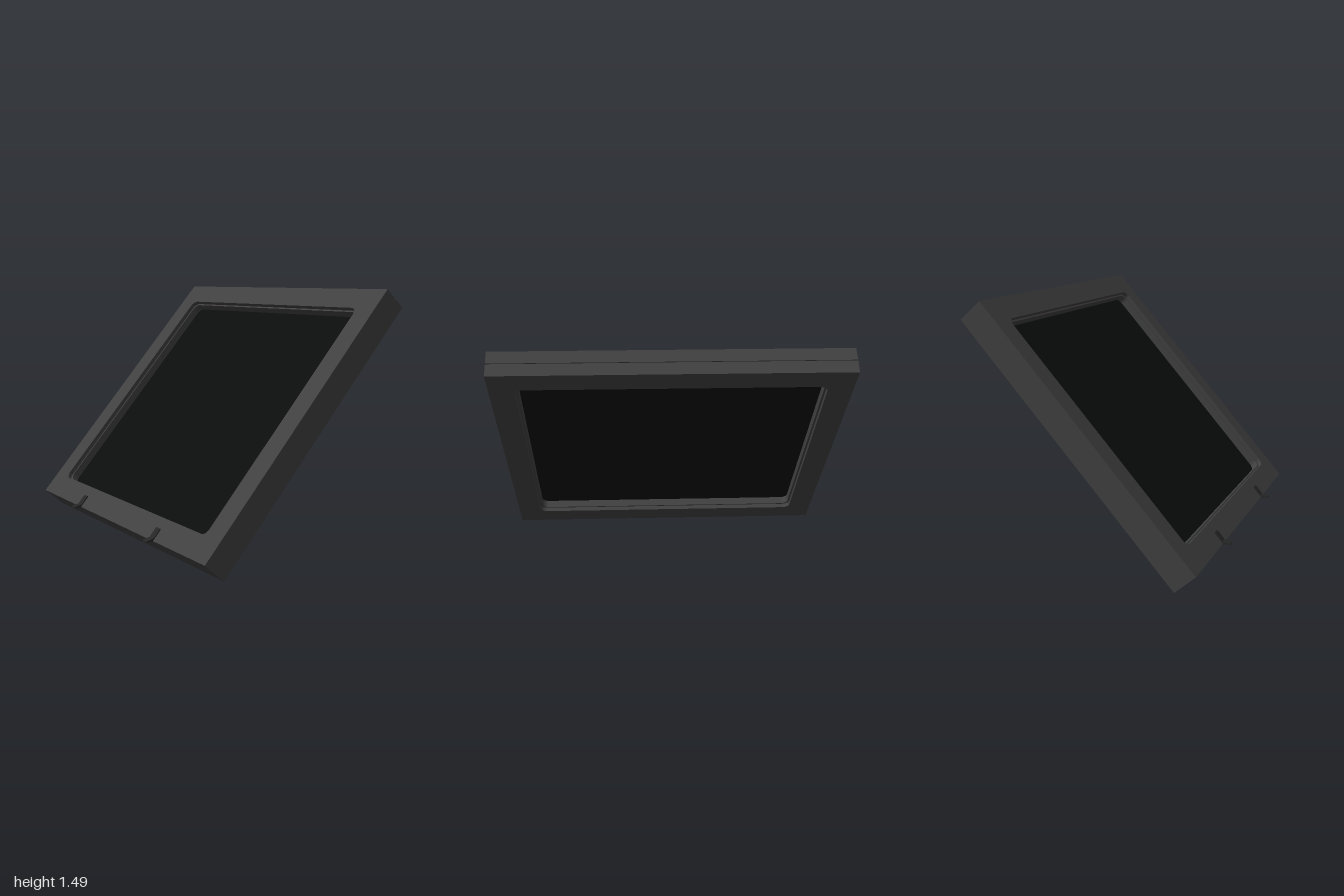
import * as THREE from 'three';

const LENGTH = 0.92, WIDTH = 1;         // half sizes of the sash
const TILT = Math.atan2(1.38, 1.215);

const frameMat = new THREE.MeshStandardMaterial({ color: 0x404040 });
const glassMat = new THREE.MeshStandardMaterial({ color: 0x0b0d0d });
const hingeMat = new THREE.MeshStandardMaterial({ color: 0x262626 });

function roundedRect(path, a, b, r) {
  path.moveTo(-a + r, -b);
  path.lineTo(a - r, -b).absarc(a - r, -b + r, r, -Math.PI / 2, 0, false);
  path.lineTo(a, b - r).absarc(a - r, b - r, r, 0, Math.PI / 2, false);
  path.lineTo(-a + r, b).absarc(-a + r, b - r, r, Math.PI / 2, Math.PI, false);
  path.lineTo(-a, -b + r).absarc(-a + r, -b + r, r, Math.PI, Math.PI * 1.5, false);
  return path;
}

// One layer of the frame with a rounded opening, between heights v0 and v1
function frameLayer(name, v0, v1, holeA, holeB, endU = LENGTH) {
  const shape = new THREE.Shape([
    new THREE.Vector2(-LENGTH, -WIDTH), new THREE.Vector2(endU, -WIDTH),
    new THREE.Vector2(endU, WIDTH), new THREE.Vector2(-LENGTH, WIDTH),
  ]);
  shape.holes.push(roundedRect(new THREE.Path(), holeA, holeB, 0.045));
  const geo = new THREE.ExtrudeGeometry(shape, { depth: v1 - v0, bevelEnabled: false, curveSegments: 6 });
  geo.rotateX(-Math.PI / 2).translate(0, v0, 0);
  const mesh = new THREE.Mesh(geo, frameMat);
  mesh.name = name;
  return mesh;
}

// Bent leaf hugging the lower edge of the upper face
function hinge(name, z) {
  const pts = [[-0.688, 0.107], [-0.648, 0.107], [-0.64, 0.113], [-0.597, 0.162],
    [-0.597, 0.173], [-0.604, 0.168], [-0.642, 0.124], [-0.688, 0.113]];
  const shape = new THREE.Shape(pts.map(([x, y]) => new THREE.Vector2(x, y)));
  const geo = new THREE.ExtrudeGeometry(shape, { depth: 0.044, bevelEnabled: false });
  const mesh = new THREE.Mesh(geo.translate(0, 0, z - 0.022), hingeMat);
  mesh.name = name;
  return mesh;
}

export function createModel() {
  const model = new THREE.Group();
  model.name = 'tiltedWindow';

  const sash = new THREE.Group();
  sash.name = 'sash';
  sash.position.set(0.021, 0.748, 0);
  sash.rotation.z = TILT;
  model.add(sash);

  // Stepped frame: an outer lip and inner rebate on each face, with a seam at the top end
  sash.add(
    frameLayer('upperLip', 0.053, 0.079, 0.778, 0.857),
    frameLayer('upperRebate', 0.002, 0.053, 0.768, 0.846),
    frameLayer('seamCore', -0.002, 0.002, 0.768, 0.846, LENGTH - 0.006),
    frameLayer('lowerRebate', -0.053, -0.002, 0.768, 0.846),
    frameLayer('lowerLip', -0.079, -0.053, 0.778, 0.857),
  );

  // Pane set in the middle of the frame
  const pane = new THREE.Mesh(new THREE.BoxGeometry(1.55, 0.012, 1.71), glassMat);
  pane.name = 'glassPane';
  sash.add(pane);

  model.add(hinge('rearHinge', -0.463), hinge('frontHinge', 0.453));
  return model;
}
